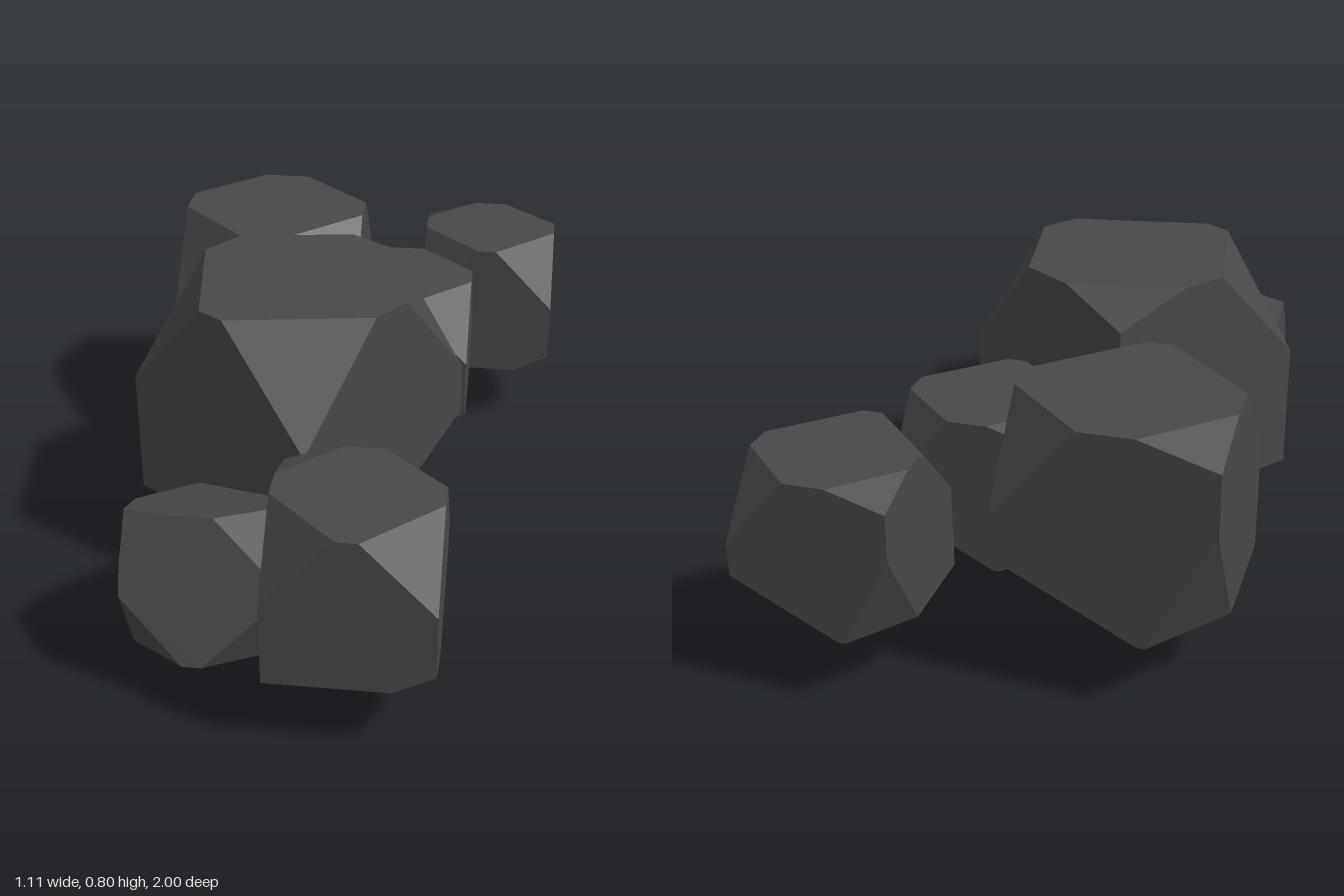
import * as THREE from 'three';
import { ConvexGeometry } from 'three/addons/geometries/ConvexGeometry.js';

// Corner of a unit cube (signs x, y, z) and how far its cut runs along each edge
const CORNERS = [
  { at: [-1, 1, 1], cut: [0.43, 0.45, 0.44] },
  { at: [1, 1, 1], cut: [0.44, 0.46, 0.43] },
  { at: [1, 1, -1], cut: [0.39, 0.44, 0.38] },
  { at: [-1, 1, -1], cut: [0.36, 0.11, 0.35] },
  { at: [-1, -1, 1], cut: [0, 0, 0] },
  { at: [1, -1, 1], cut: [0.25, 0.13, 0.27] },
  { at: [1, -1, -1], cut: [0.66, 0.34, 0.55] },
  { at: [-1, -1, -1], cut: [0.3, 0.59, 0.38] },
];

// A cube with its corners chipped off, as the hull of the chip points
function rockGeometry() {
  const points = [];
  for (const { at, cut } of CORNERS) {
    const corner = at.map((s) => s / 2);
    const chips = cut[0] === 0 ? [0] : [0, 1, 2];
    for (const axis of chips) {
      const p = [...corner];
      p[axis] -= at[axis] * cut[axis];
      points.push(new THREE.Vector3(...p));
    }
  }
  return new ConvexGeometry(points);
}

export function createModel() {
  const group = new THREE.Group();
  group.name = 'rockCluster';
  const geometry = rockGeometry();
  const material = new THREE.MeshStandardMaterial({ color: 0x484848, flatShading: true });
  const deg = THREE.MathUtils.degToRad;

  function addRock(name, size, position, tilt = 0, turn = 0) {
    const rock = new THREE.Mesh(geometry, material);
    rock.name = name;
    rock.scale.setScalar(size);
    rock.position.set(...position);
    rock.rotation.set(deg(tilt), deg(turn), 0);
    group.add(rock);
  }

  // Large central boulder, turned on its base
  addRock('mainBoulder', 0.618, [-0.121, 0.487, 0.13], 0, -35.3);
  // Medium boulder behind it
  addRock('rearBoulder', 0.533, [-0.292, 0.444, -0.562]);
  // Small upright rocks
  addRock('frontRock', 0.4, [0.112, 0.378, 0.798]);
  addRock('middleRock', 0.4, [0.112, 0.378, -0.402]);
  addRock('rearRock', 0.4, [0.352, 0.378, -0.8]);
  // Small rock tipped forward
  addRock('tippedRock', 0.364, [-0.27, 0.233, 0.665], 70);

  return group;
}
